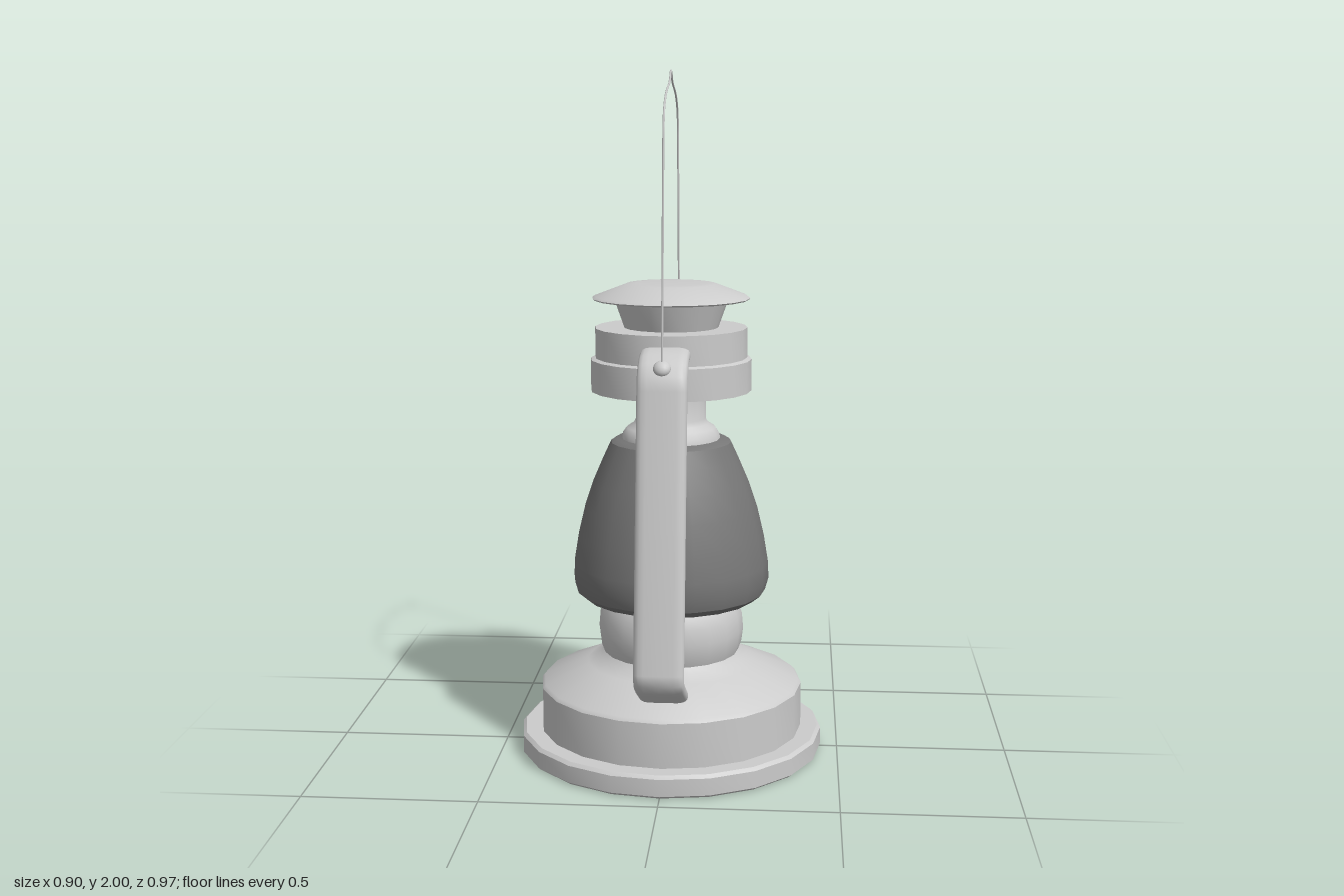
import * as THREE from 'three';
import { toCreasedNormals } from 'three/addons/utils/BufferGeometryUtils.js';

const SIDES = 20;
const grey = new THREE.MeshStandardMaterial({ color: 0xcccccc });
const darkGlass = new THREE.MeshStandardMaterial({ color: 0x777777 });

function mesh(name, geometry, material = grey) {
  const m = new THREE.Mesh(geometry, material);
  m.name = name;
  return m;
}

// Turned part: profile of [radius, height] pairs from bottom to top
function turned(name, profile, material) {
  const points = profile.map(([r, y]) => new THREE.Vector2(r, y));
  return mesh(name, toCreasedNormals(new THREE.LatheGeometry(points, SIDES), 0.6), material);
}

// Flattened tube swept along a [z, y] path; width runs along x
function flatTube(path, halfWidth, halfThick, around = 20) {
  const points = path.map(([z, y]) => new THREE.Vector3(0, y, z));
  const positions = [], index = [];
  points.forEach((p, i) => {
    const before = points[Math.max(i - 1, 0)];
    const after = points[Math.min(i + 1, points.length - 1)];
    const t = after.clone().sub(before).normalize();
    for (let j = 0; j < around; j++) {
      const a = (j / around) * Math.PI * 2;
      const c = Math.cos(a), s = Math.sin(a);
      const x = Math.sign(c) * Math.abs(c) ** 0.45 * halfWidth;
      const n = Math.sign(s) * Math.abs(s) ** 0.75 * halfThick;
      positions.push(x, p.y + t.z * n, p.z - t.y * n);
      if (i < points.length - 1) {
        const k = i * around + j, l = i * around + ((j + 1) % around);
        index.push(k, l, k + around, l, l + around, k + around);
      }
    }
  });
  const g = new THREE.BufferGeometry();
  g.setAttribute('position', new THREE.Float32BufferAttribute(positions, 3));
  g.setIndex(index);
  g.computeVertexNormals();
  return g;
}

export function createModel() {
  const lantern = new THREE.Group();
  lantern.name = 'lantern';

  // Foot, fuel tank and burner
  lantern.add(turned('foot', [
    [0, 0], [0.44, 0], [0.45, 0.008], [0.45, 0.058], [0.44, 0.067], [0.37, 0.067],
  ]));
  lantern.add(turned('fuelTank', [
    [0.39, 0.06], [0.39, 0.198], [0.382, 0.208], [0.25, 0.265], [0.215, 0.283], [0.2, 0.3],
  ]));
  lantern.add(turned('burner', [
    [0.2, 0.295], [0.211, 0.325], [0.216, 0.365], [0.212, 0.41], [0.2, 0.445], [0.19, 0.46],
  ]));

  // Glass globe and the collar and neck above it
  lantern.add(turned('glassGlobe', [
    [0, 0.456], [0.215, 0.456], [0.255, 0.465], [0.28, 0.485], [0.29, 0.52], [0.288, 0.57],
    [0.275, 0.65], [0.255, 0.735], [0.23, 0.81], [0.2, 0.88], [0.177, 0.93], [0.16, 0.94], [0, 0.94],
  ], darkGlass));
  lantern.add(turned('neck', [
    [0.145, 0.935], [0.142, 0.955], [0.13, 0.972], [0.11, 0.985], [0.102, 1.0], [0.102, 1.09],
  ]));

  // Stepped hood, flared chimney and lid
  lantern.add(turned('hood', [
    [0, 1.083], [0.235, 1.083], [0.235, 1.175], [0.222, 1.18], [0.222, 1.267], [0, 1.267],
  ]));
  lantern.add(turned('chimney', [[0.137, 1.265], [0.168, 1.352]]));
  lantern.add(turned('lid', [
    [0, 1.348], [0.226, 1.348], [0.23, 1.352], [0.222, 1.358], [0.13, 1.393], [0.1, 1.395], [0, 1.396],
  ]));

  // Side arms with rivets, one at the front and one at the back
  const armPath = [
    [0.19, 1.213], [0.24, 1.211], [0.28, 1.203], [0.31, 1.187], [0.329, 1.163], [0.338, 1.13],
    [0.4, 0.745], [0.461, 0.365], [0.46, 0.345], [0.448, 0.33], [0.4, 0.303], [0.24, 0.222],
  ];
  const armGeometry = flatTube(armPath, 0.07, 0.024);
  const rivetGeometry = new THREE.SphereGeometry(0.025, 16, 10);
  ['front', 'back'].forEach((side, i) => {
    const arm = new THREE.Group();
    arm.name = side + 'Arm';
    arm.rotation.y = i * Math.PI;
    const rivet = mesh('rivet', rivetGeometry);
    rivet.position.set(0, 1.193, 0.333);
    rivet.rotation.x = -0.75;
    rivet.scale.z = 0.7;
    arm.add(mesh('armTube', armGeometry), rivet);
    lantern.add(arm);
  });

  // Wire carrying handle, peaked in the middle
  const half = [
    [0.335, 1.19], [0.308, 1.5], [0.282, 1.79], [0.275, 1.84], [0.255, 1.885], [0.21, 1.92],
    [0.15, 1.942], [0.06, 1.963], [0.035, 1.975], [0.015, 1.992],
  ];
  const mirrored = half.map(([z, y]) => [-z, y]).reverse();
  const wire = new THREE.CatmullRomCurve3(
    [...half, [0, 1.997], ...mirrored].map(([z, y]) => new THREE.Vector3(0, y, z)));
  lantern.add(mesh('wireHandle', new THREE.TubeGeometry(wire, 120, 0.003, 6)));

  return lantern;
}
